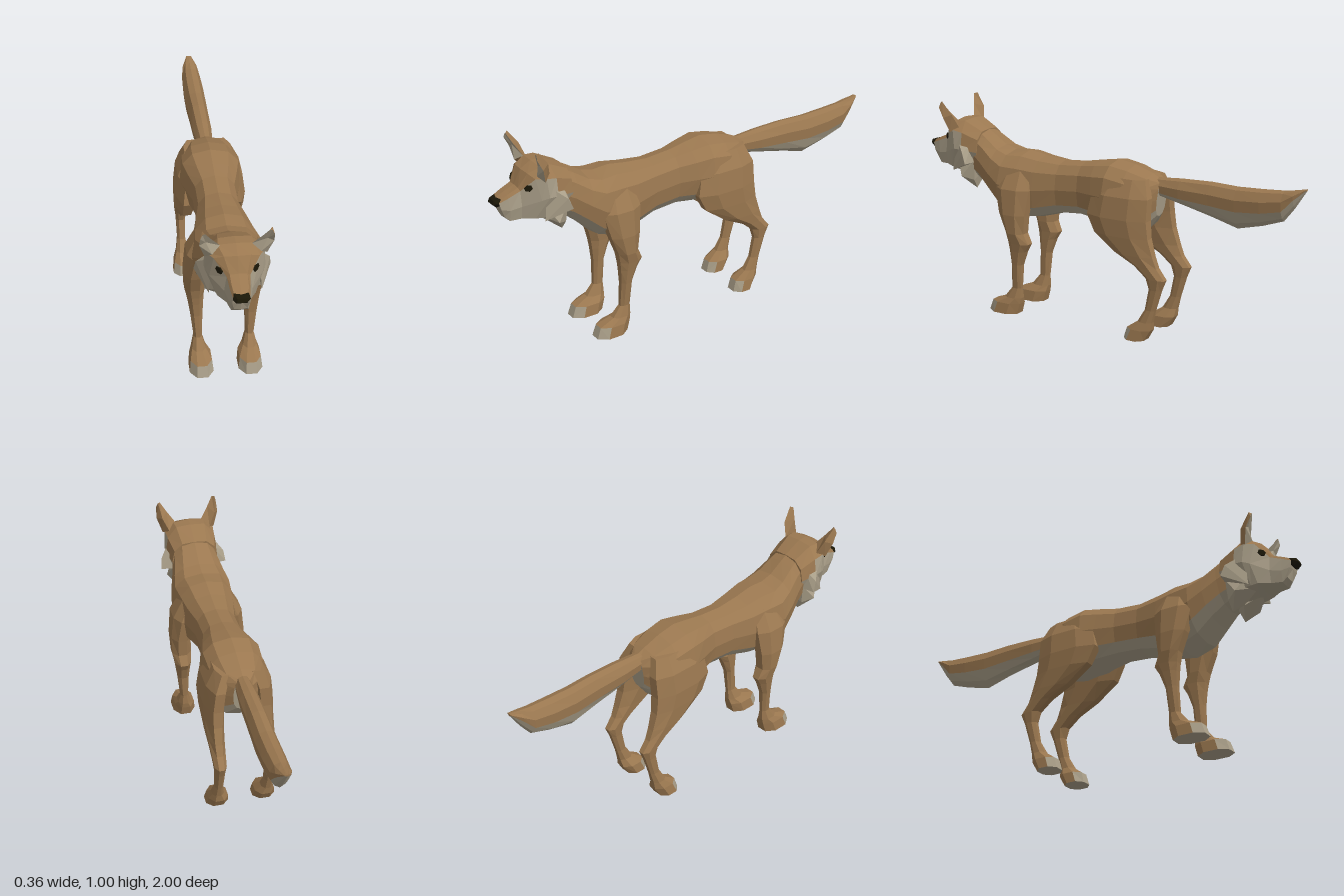
import * as THREE from 'three';
import { ConvexGeometry } from 'three/addons/geometries/ConvexGeometry.js';

const material = (name, color) => {
  const m = new THREE.MeshStandardMaterial({ color, flatShading: true });
  m.name = name;
  return m;
};

// Closed skin over rings of [x, y, z] points; colorOf(i, j) picks a material index per quad.
function loft(rings, colorOf, startCap = 0, endCap = 0) {
  const buckets = [[], [], []];
  const n = rings[0].length;
  let volume = 0;
  const tri = (m, a, b, c) => {
    volume += new THREE.Vector3(...a).dot(new THREE.Vector3(...b).cross(new THREE.Vector3(...c)));
    buckets[m].push([a, b, c]);
  };
  for (let i = 0; i < rings.length - 1; i++) {
    for (let j = 0; j < n; j++) {
      const k = (j + 1) % n, m = colorOf(i, j);
      tri(m, rings[i][j], rings[i + 1][j], rings[i + 1][k]);
      tri(m, rings[i][j], rings[i + 1][k], rings[i][k]);
    }
  }
  const cap = (ring, m, flip) => {
    const c = [0, 1, 2].map(a => ring.reduce((s, p) => s + p[a], 0) / n);
    for (let j = 0; j < n; j++) {
      const p = ring[j], q = ring[(j + 1) % n];
      flip ? tri(m, c, q, p) : tri(m, c, p, q);
    }
  };
  cap(rings[0], startCap, false);
  cap(rings[rings.length - 1], endCap, true);

  const geo = new THREE.BufferGeometry(), pos = [];
  buckets.forEach((list, m) => {
    if (!list.length) return;
    geo.addGroup(pos.length / 3, list.length * 3, m);
    for (const [a, b, c] of list) pos.push(...a, ...(volume < 0 ? [...c, ...b] : [...b, ...c]));
  });
  geo.setAttribute('position', new THREE.Float32BufferAttribute(pos, 3));
  geo.computeVertexNormals();
  return geo;
}

// Completes a half ring (top centre to bottom centre) by mirroring it.
const mirrorRing = half => [...half, ...half.slice(1, -1).reverse().map(([x, y, z]) => [-x, y, z])];

export function createModel() {
  const model = new THREE.Group();
  const brown = material('brownFur', 0x9b7850);
  const cream = material('creamFur', 0xa99e88);
  const black = material('black', 0x1b1708);
  const fur = [brown, cream, black];
  const add = (name, geo, mat = fur) => {
    const mesh = new THREE.Mesh(geo, mat);
    mesh.name = name;
    model.add(mesh);
    return mesh;
  };

  // Body and neck: [top z, top y, bottom z, bottom y, half width]
  const body = [
    [-0.305, 0.73, -0.285, 0.56, 0.045], [-0.25, 0.755, -0.24, 0.5, 0.115],
    [-0.16, 0.785, -0.15, 0.48, 0.14], [-0.07, 0.8, -0.05, 0.495, 0.145],
    [0.02, 0.785, 0, 0.505, 0.125], [0.1, 0.77, 0.1, 0.515, 0.1],
    [0.22, 0.76, 0.22, 0.505, 0.1], [0.33, 0.77, 0.34, 0.47, 0.125],
    [0.42, 0.785, 0.44, 0.455, 0.14], [0.5, 0.78, 0.53, 0.49, 0.15],
    [0.56, 0.795, 0.6, 0.56, 0.135], [0.63, 0.84, 0.66, 0.61, 0.115],
    [0.7, 0.88, 0.72, 0.64, 0.1],
  ].map(([zt, yt, zb, yb, w]) => Array.from({ length: 12 }, (_, k) => {
    const a = k * Math.PI / 6, c = Math.cos(a), s = Math.sin(a);
    const t = (1 - Math.sign(c) * Math.abs(c) ** 0.8) / 2;
    return [w * Math.sign(s) * Math.abs(s) ** 0.8, yt + (yb - yt) * t, zt + (zb - zt) * t];
  }));
  add('body', loft(body, (i, j) => (j >= 4 && j <= 7 ? 1 : 0), 1, 0));

  // Head: half rings from the nape to the muzzle tip
  const head = [
    [[0, 0.86, 0.66], [0.06, 0.855, 0.66], [0.1, 0.82, 0.66], [0.112, 0.76, 0.66], [0.08, 0.67, 0.67], [0, 0.64, 0.68]],
    [[0, 0.905, 0.75], [0.07, 0.9, 0.75], [0.115, 0.85, 0.74], [0.128, 0.77, 0.74], [0.09, 0.66, 0.75], [0, 0.64, 0.75]],
    [[0, 0.906, 0.8], [0.075, 0.9, 0.795], [0.12, 0.86, 0.79], [0.125, 0.77, 0.78], [0.085, 0.665, 0.8], [0, 0.655, 0.8]],
    [[0, 0.878, 0.85], [0.055, 0.876, 0.846], [0.095, 0.86, 0.83], [0.11, 0.76, 0.81], [0.08, 0.67, 0.83], [0, 0.66, 0.83]],
    [[0, 0.815, 0.885], [0.036, 0.813, 0.885], [0.048, 0.8, 0.88], [0.058, 0.73, 0.88], [0.048, 0.67, 0.88], [0, 0.665, 0.88]],
    [[0, 0.795, 0.935], [0.034, 0.792, 0.935], [0.042, 0.778, 0.935], [0.046, 0.72, 0.93], [0.036, 0.668, 0.93], [0, 0.665, 0.93]],
    [[0, 0.777, 0.975], [0.028, 0.775, 0.975], [0.034, 0.762, 0.975], [0.036, 0.73, 0.967], [0.028, 0.69, 0.95], [0, 0.685, 0.952]],
  ].map(mirrorRing);
  add('head', loft(head, (i, j) => {
    const s = Math.min(j, 9 - j);
    return s < 2 || (s === 2 && i === 0) ? 0 : 1;
  }, 0, 1));

  // Tail: [z, top y, bottom y, half width, colour border y]
  const tail = [
    [-0.27, 0.74, 0.66, 0.035, 0.68], [-0.4, 0.75, 0.63, 0.045, 0.665],
    [-0.55, 0.755, 0.595, 0.047, 0.655], [-0.68, 0.75, 0.56, 0.05, 0.645],
    [-0.8, 0.755, 0.59, 0.05, 0.655], [-0.9, 0.762, 0.625, 0.045, 0.675],
    [-0.95, 0.77, 0.69, 0.035, 0.73], [-1, 0.78, 0.77, 0.012, 0.776],
  ].map(([z, t, b, w, s]) => mirrorRing([
    [0, t, z], [0.6 * w, t - (t - s) * 0.1, z], [w, (t + s) / 2, z],
    [0.92 * w, s, z], [0.55 * w, s + (b - s) * 0.65, z], [0, b, z],
  ]));
  add('tail', loft(tail, (i, j) => (Math.min(j, 9 - j) < 3 ? 0 : 1)));

  // Nose
  const nose = [];
  for (const s of [-1, 1]) {
    for (const [x, y, z] of [[0.03, 0.78, 0.962], [0.036, 0.762, 0.983], [0.02, 0.774, 0.994],
      [0.022, 0.742, 0.983], [0.02, 0.757, 1], [0.03, 0.748, 0.962]]) nose.push(new THREE.Vector3(s * x, y, z));
  }
  add('nose', new ConvexGeometry(nose), black);

  // Legs, top to sole: [y, front z, back z, inner x, outer x]
  const frontLeg = [
    [0.72, 0.5, 0.36, 0.04, 0.115], [0.62, 0.53, 0.34, 0.06, 0.168], [0.5, 0.5, 0.355, 0.085, 0.18],
    [0.41, 0.465, 0.365, 0.085, 0.177], [0.36, 0.455, 0.342, 0.09, 0.167], [0.32, 0.45, 0.365, 0.092, 0.16],
    [0.25, 0.445, 0.39, 0.096, 0.15], [0.13, 0.45, 0.4, 0.1, 0.137], [0.08, 0.49, 0.4, 0.085, 0.148],
    [0.052, 0.56, 0.405, 0.063, 0.16], [0, 0.578, 0.42, 0.057, 0.166],
  ];
  const hindLeg = [
    [0.74, -0.06, -0.26, 0.03, 0.11], [0.66, 0, -0.29, 0.05, 0.15], [0.56, 0.02, -0.29, 0.06, 0.162],
    [0.48, -0.02, -0.3, 0.07, 0.16], [0.4, -0.13, -0.325, 0.08, 0.155], [0.35, -0.23, -0.345, 0.085, 0.15],
    [0.3, -0.29, -0.385, 0.09, 0.146], [0.25, -0.305, -0.365, 0.095, 0.14], [0.15, -0.285, -0.335, 0.098, 0.137],
    [0.09, -0.25, -0.32, 0.09, 0.145], [0.052, -0.195, -0.315, 0.065, 0.158], [0, -0.18, -0.285, 0.06, 0.165],
  ];
  const octagon = [[0.45, 1], [1, 0.45], [1, -0.45], [0.45, -1], [-0.45, -1], [-1, -0.45], [-1, 0.45], [-0.45, 1]];
  const leg = (rows, s) => loft(
    rows.map(([y, zf, zb, xi, xo]) => octagon.map(([u, v]) => [
      s * ((xi + xo) / 2 + u * (xo - xi) / 2), y, (zf + zb) / 2 + v * (zf - zb) / 2])),
    (i, j) => (i === rows.length - 2 && [0, 6, 7].includes(j) ? 1 : 0), 0, 1);

  // Ear rings: inner, front, outer and back corners
  const ear = [
    [[0.065, 0.9, 0.8], [0.1, 0.875, 0.825], [0.128, 0.85, 0.8], [0.1, 0.87, 0.765]],
    [[0.102, 0.95, 0.825], [0.126, 0.935, 0.82], [0.152, 0.92, 0.82], [0.13, 0.935, 0.785]],
    [[0.13, 0.993, 0.845], [0.14, 0.988, 0.843], [0.15, 0.968, 0.845], [0.141, 0.998, 0.832]],
  ];
  const cheek = [[0.1, 0.82, 0.78], [0.11, 0.66, 0.8], [0.155, 0.76, 0.71], [0.162, 0.71, 0.69],
    [0.1, 0.71, 0.68], [0.09, 0.8, 0.7]];
  const ruff = [[0.03, 0.675, 0.82], [0.09, 0.71, 0.78], [0.125, 0.64, 0.74], [0.09, 0.62, 0.69],
    [0, 0.625, 0.72], [0.06, 0.575, 0.695], [0, 0.68, 0.66], [0.1, 0.72, 0.68]];

  for (const [side, s] of [['left', 1], ['right', -1]]) {
    const flip = pts => pts.map(([x, y, z]) => [s * x, y, z]);
    const hull = pts => new ConvexGeometry(flip(pts).map(p => new THREE.Vector3(...p)));
    add(side + 'FrontLeg', leg(frontLeg, s));
    add(side + 'HindLeg', leg(hindLeg, s));
    add(side + 'Ear', loft(ear.map(flip), (i, j) => (j < 2 ? 1 : 0)));
    add(side + 'CheekTuft', hull(cheek), cream);
    add(side + 'ThroatRuff', hull(ruff), cream);

    // Eye: thin slanted plate
    const eye = add(side + 'Eye', new THREE.CylinderGeometry(0.017, 0.017, 0.008, 6).rotateX(Math.PI / 2), black);
    const normal = new THREE.Vector3(s * 0.756, 0.03, 0.654);
    eye.position.set(s * 0.0735, 0.817, 0.853).addScaledVector(normal, 0.002);
    eye.lookAt(eye.position.clone().add(normal));
    eye.rotateZ(s * 0.4);
    eye.scale.set(1.15, 0.85, 1);
  }
  return model;
}
